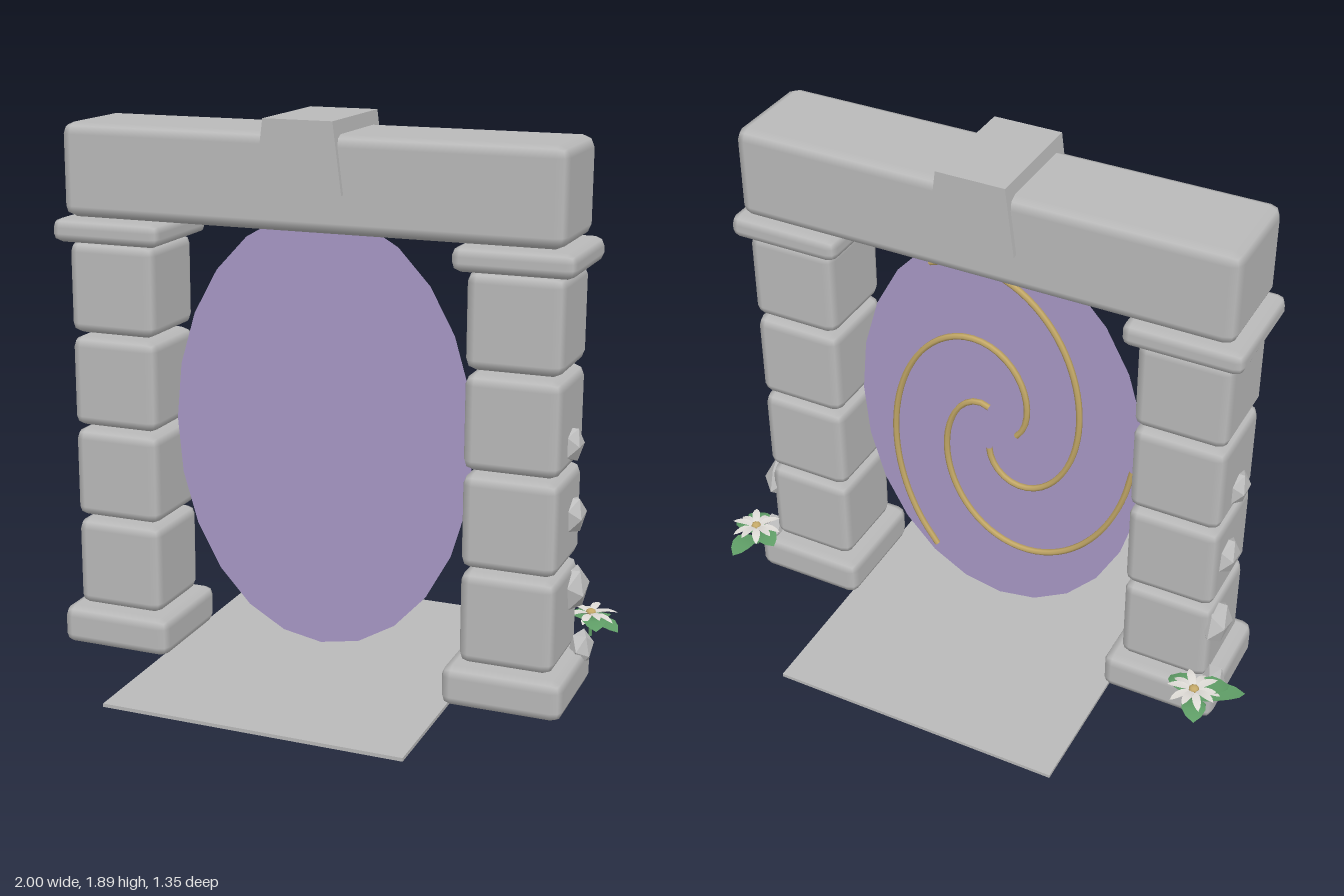
import * as THREE from 'three';
import { RoundedBoxGeometry } from 'three/addons/geometries/RoundedBoxGeometry.js';

const mat = (name, color, opts = {}) => {
  const m = new THREE.MeshStandardMaterial({ color, ...opts });
  m.name = name;
  return m;
};

export function createModel() {
  const stone = mat('stone', 0xbababa);
  const rock = mat('rock', 0xbebebe, { flatShading: true });
  const veil = mat('violet', 0xa898c6, { side: THREE.DoubleSide });
  const gold = mat('gold', 0xc4a968);
  const green = mat('leafGreen', 0x5f9d66, { side: THREE.DoubleSide });
  const white = mat('petalWhite', 0xdedbd6, { side: THREE.DoubleSide });

  const model = new THREE.Group();
  model.name = 'stonePortal';

  // The gate stands turned slightly about the vertical axis
  const gate = new THREE.Group();
  gate.name = 'gate';
  gate.position.set(0.025, 0, 0.0275);
  gate.rotation.y = 0.073;
  model.add(gate);

  const add = (parent, name, geometry, material, x = 0, y = 0, z = 0) => {
    const mesh = new THREE.Mesh(geometry, material);
    mesh.name = name;
    mesh.position.set(x, y, z);
    parent.add(mesh);
    return mesh;
  };
  // Bevelled stone between two heights
  const slab = (parent, name, x, y0, y1, w, d, r) =>
    add(parent, name, new RoundedBoxGeometry(w, y1 - y0, d, 1, r), stone, x, (y0 + y1) / 2);

  // Floor slab
  add(gate, 'floor', new THREE.BoxGeometry(1.04, 0.012, 1.275), stone, 0, 0.006, -0.0275);

  // Pillars with base, four blocks, cap and stuck-on rocks
  const rocks = [
    [0.858, 0.885, 0.0, 0.062],
    [0.858, 0.635, -0.05, 0.068],
    [0.858, 0.37, -0.09, 0.081],
    [0.88, 0.14, -0.14, 0.066],
  ];
  for (const s of [1, -1]) {
    const pillar = new THREE.Group();
    pillar.name = s > 0 ? 'leftPillar' : 'rightPillar';
    gate.add(pillar);
    slab(pillar, 'base', s * 0.7, 0.008, 0.145, 0.406, 0.406, 0.035);
    for (let i = 0; i < 4; i++) {
      const y = 0.147 + i * 0.3275;
      slab(pillar, 'block', s * 0.7, y, y + 0.315, 0.317, 0.317, 0.035);
    }
    slab(pillar, 'cap', s * 0.7, 1.445, 1.525, 0.396, 0.392, 0.03);
    rocks.forEach(([x, y, z, r], i) => {
      const m = add(pillar, 'rock', new THREE.IcosahedronGeometry(r, 0), rock, s * x, y, z);
      m.scale.x = 0.65;
      m.rotation.x = 0.15 * i;
    });
  }

  // Lintel and keystone
  slab(gate, 'lintel', 0, 1.53, 1.845, 1.719, 0.361, 0.038);
  const wedge = new THREE.Shape([[-0.148, 1.66], [0.148, 1.66], [0.118, 1.89], [-0.118, 1.89]]
    .map(([x, y]) => new THREE.Vector2(x, y)));
  const keyGeo = new THREE.ExtrudeGeometry(wedge, { depth: 0.395, bevelEnabled: false });
  add(gate, 'keystone', keyGeo, stone, 0, 0, -0.1975);

  // Portal veil
  const RX = 0.535, RY = 0.75, CY = 0.825;
  const disc = add(gate, 'veil', new THREE.CircleGeometry(1, 24), veil, 0, CY, 0);
  disc.scale.set(RX, RY, 1);

  // Three spiral arms on the back of the veil
  for (let k = 0; k < 3; k++) {
    const points = [];
    for (let i = 0; i <= 24; i++) {
      const t = i / 24;
      const a = (k * 2 + t * 4) * Math.PI / 3;
      const r = 0.13 + 0.8 * t;
      points.push(new THREE.Vector3(-RX * r * Math.cos(a), RY * r * Math.sin(a), 0));
    }
    const path = new THREE.CatmullRomCurve3(points);
    add(gate, 'spiralArm', new THREE.TubeGeometry(path, 48, 0.011, 6), gold, 0, CY, -0.012);
  }

  // Pointed blade along +z, arched by a lift in the middle
  const blade = (length, width, arch) => {
    const shape = new THREE.Shape();
    shape.moveTo(0, 0);
    shape.bezierCurveTo(width * 0.7, length * 0.3, width * 0.6, length * 0.8, 0, length);
    shape.bezierCurveTo(-width * 0.6, length * 0.8, -width * 0.7, length * 0.3, 0, 0);
    const g = new THREE.ShapeGeometry(shape, 5).rotateX(-Math.PI / 2).rotateY(Math.PI);
    const p = g.attributes.position;
    for (let i = 0; i < p.count; i++) {
      p.setY(i, arch * Math.sin(Math.PI * p.getZ(i) / length));
    }
    g.computeVertexNormals();
    return g;
  };

  // Daisies with leaves, given by leaf tip offsets in x and z
  const plants = [
    { name: 'rightFlower', at: [-0.86, -0.195], tips: [[-0.138, 0.115], [-0.05, -0.1], [0.11, 0.05], [-0.085, 0.1]] },
    { name: 'leftFlower', at: [0.892, -0.275], tips: [[0.01, -0.135], [0.106, 0.03], [-0.1, -0.03], [0.05, 0.095]] },
  ];
  for (const { name, at, tips } of plants) {
    const plant = new THREE.Group();
    plant.name = name;
    plant.position.set(at[0], 0, at[1]);
    model.add(plant);
    tips.forEach(([x, z], i) => {
      const leaf = add(plant, 'leaf', blade(Math.hypot(x, z), 0.085, 0.025), green, 0, 0.18 + 0.008 * i, 0);
      leaf.rotation.y = Math.atan2(x, z);
    });
    const petalGeo = blade(0.09, 0.03, 0.012);
    for (let i = 0; i < 10; i++) {
      const petal = add(plant, 'petal', petalGeo, white, 0, 0.225, 0);
      petal.rotation.set(i % 2 ? -0.12 : 0.1, i * Math.PI / 5, 0, 'YXZ');
    }
    const heart = add(plant, 'flowerCentre', new THREE.SphereGeometry(0.018, 8, 6), gold, 0, 0.232, 0);
    heart.scale.y = 0.7;
    add(plant, 'stem', new THREE.CylinderGeometry(0.006, 0.006, 0.08, 6), green, 0, 0.188, 0);
  }
  return model;
}
